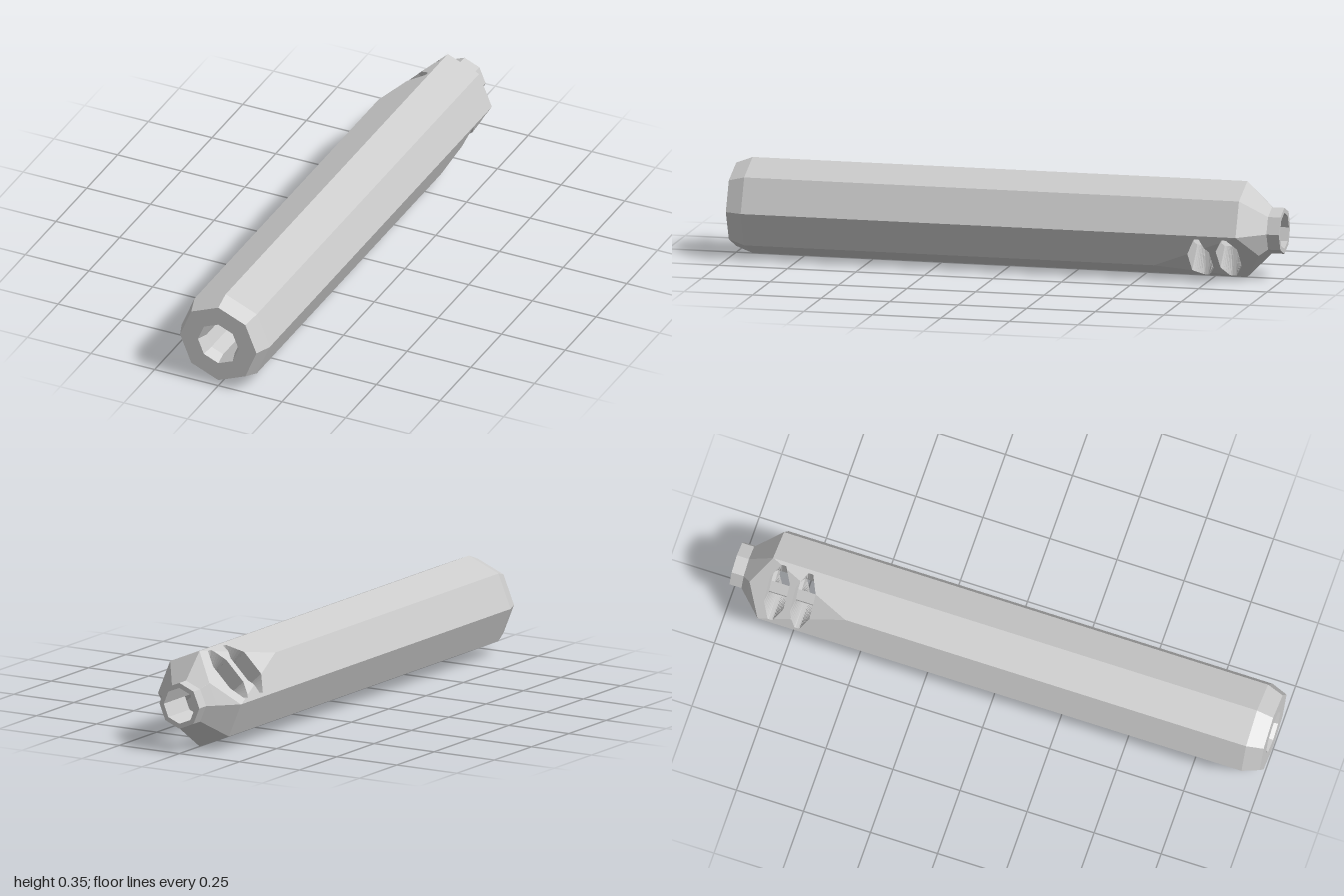
import * as THREE from 'three';

const CY = 0.173;                       // height of the tube axis
const K = Math.tan(Math.PI / 8);        // fall of an octagon side away from its corner
const SLOTS = [-0.72, -0.82];
const HALF = 0.038;                     // half width of a slot along z

// Piecewise linear profiles along z: outer corner radius and bore corner radius
const OUTER = [[1, 0.15], [0.94, 0.173], [-0.865, 0.173], [-0.955, 0.083], [-1, 0.083]];
const BORE = [[1, 0.08], [0.96, 0.065], [-1, 0.065]];
function sample(profile, z) {
  for (let i = 1; i < profile.length; i++) {
    const [z0, r0] = profile[i - 1], [z1, r1] = profile[i];
    if (z >= z1) return r0 + (r1 - r0) * (z0 - z) / (z0 - z1);
  }
  return profile[profile.length - 1][1];
}

// Sloping flat that trims two opposite corners towards the rear
const flatHeight = (z) => 0.173 + 0.165 * (z + 0.555);

// Half length of a slot: long in the middle, short at its edges
function slotReach(dz) {
  const k = Math.max(0, (Math.abs(dz) - 0.009) / (HALF - 0.009));
  return 0.11 - 0.06 * k;
}

// Stations from front to rear; h is the slot half length there
function makeStations() {
  const list = [1, 0.96, 0.94, -0.555, -0.865, -0.926, -0.955, -1].map((z) => ({ z, h: 0 }));
  for (const c of SLOTS) {
    list.push({ z: c + HALF, h: 0, order: 0 });
    for (let i = 0; i <= 16; i++) {
      const dz = HALF * (1 - i / 8);
      list.push({ z: c + dz, h: slotReach(dz), order: 1 + i });
    }
    list.push({ z: c - HALF, h: 0, order: 20 });
  }
  return list.sort((a, b) => (Math.abs(b.z - a.z) > 1e-9 ? b.z - a.z : (a.order || 0) - (b.order || 0)));
}

function toMesh(name, positions) {
  const geo = new THREE.BufferGeometry();
  geo.setAttribute('position', new THREE.Float32BufferAttribute(positions, 3));
  geo.computeVertexNormals();
  const mesh = new THREE.Mesh(geo, new THREE.MeshStandardMaterial({ color: 0xcccccc, flatShading: true }));
  mesh.name = name;
  return mesh;
}

export function createModel() {
  const shell = [], bore = [], slots = [], ends = [];
  const stations = makeStations();

  // Each eighth is described by (t, d): distance across and along its corner direction
  for (let q = 0; q < 4; q++) {
    const phi = Math.PI / 4 + q * Math.PI / 2;
    const trimmed = q % 2 === 1;
    for (const side of [-1, 1]) {
      const place = ([t, d, z]) => new THREE.Vector3(
        d * Math.cos(phi) - side * t * Math.sin(phi),
        d * Math.sin(phi) + side * t * Math.cos(phi) + CY, z);
      const tri = (out, pts) => {
        const [a, b, c] = pts.map(place);
        const area = b.clone().sub(a).cross(c.clone().sub(a)).length();
        if (area < 1e-9) return;
        for (const p of side < 0 ? [a, b, c] : [a, c, b]) out.push(p.x, p.y, p.z);
      };
      const quad = (out, a, b, c, d) => { tri(out, [a, b, c]); tri(out, [a, c, d]); };

      const rows = stations.map(({ z, h: reach }) => {
        const R = sample(OUTER, z), T = R * Math.SQRT1_2, b = sample(BORE, z);
        const h = trimmed ? reach : 0;
        const limit = trimmed && z < -0.555 ? flatHeight(z) : 9;
        const crease = Math.min(T, Math.max(0, (R - limit) / K));
        const at = (t) => [t, Math.min(R - K * t, limit), z];
        return {
          z, h,
          mid: at(0),
          skin: [at(h), at(Math.max(h, crease)), at(T)],
          inner: [[0, b, z], [b * Math.SQRT1_2, b * Math.SQRT1_2, z]],
        };
      });

      for (let i = 1; i < rows.length; i++) {
        const a = rows[i - 1], b = rows[i];
        if (a.z - b.z < 1e-9) {
          // Flat walls at the two edges of a slot
          if (a.h === b.h) continue;
          const w = a.h > b.h ? a : b;
          const wall = [w.mid, w.skin[0], w.inner[1], w.inner[0]];
          if (w === a) wall.reverse();
          quad(slots, ...wall);
          continue;
        }
        for (let k = 0; k < 2; k++) quad(shell, a.skin[k], a.skin[k + 1], b.skin[k + 1], b.skin[k]);
        if (a.h > 0 && b.h > 0) {
          // Slot end sloping down to the bore
          quad(slots, a.skin[0], b.skin[0], b.inner[1], a.inner[1]);
        } else {
          quad(bore, b.inner[0], b.inner[1], a.inner[1], a.inner[0]);
        }
      }

      // Ring faces at the front and rear
      const f = rows[0], r = rows[rows.length - 1];
      quad(ends, f.inner[0], f.inner[1], f.skin[2], f.skin[0]);
      quad(ends, r.skin[0], r.skin[2], r.inner[1], r.inner[0]);
    }
  }

  const model = new THREE.Group();
  model.name = 'octagonalTube';
  model.add(toMesh('outerBody', shell), toMesh('bore', bore), toMesh('ventSlots', slots), toMesh('endRings', ends));
  return model;
}
